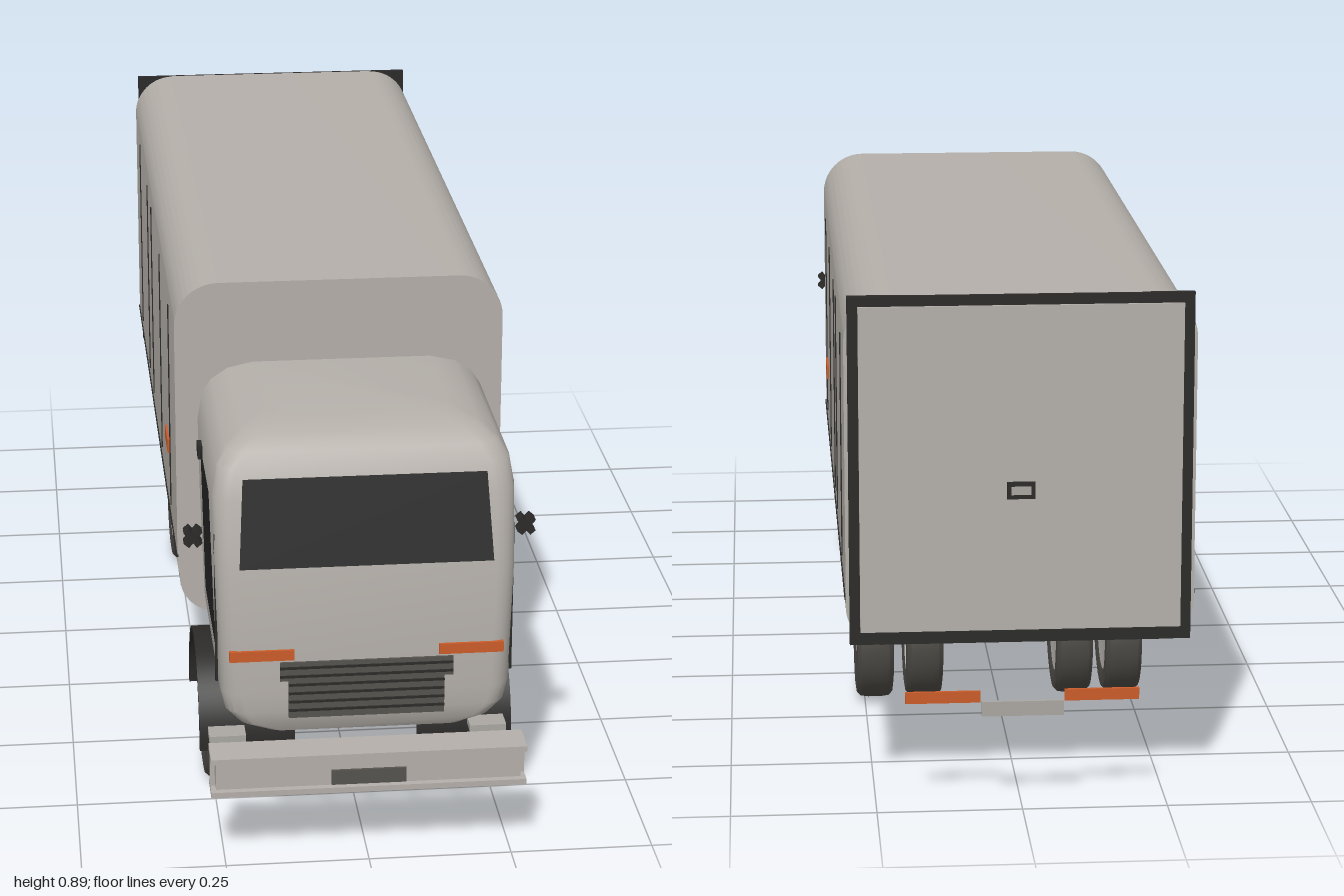
import * as THREE from 'three';
import { toCreasedNormals } from 'three/addons/utils/BufferGeometryUtils.js';

const mat = (name, color, side = THREE.FrontSide) => {
  const m = new THREE.MeshStandardMaterial({ color, side });
  m.name = name;
  return m;
};

export function createModel() {
  const truck = new THREE.Group();
  truck.name = 'boxTruck';
  const paint = mat('warmGreyPaint', 0xb4afa9);
  const glass = mat('darkGlass', 0x232323, THREE.DoubleSide);
  const black = mat('blackTrim', 0x2b2a29, THREE.DoubleSide);
  const rubber = mat('tyreRubber', 0x4d4a45);
  const grilleGrey = mat('grilleGrey', 0x56534e);
  const orange = mat('orangeLamp', 0xcc5c2a);
  const brown = mat('axleBrown', 0x5e2d1c);
  const metal = mat('metal', 0xaaa7a2);

  const add = (name, geometry, material, parent = truck) => {
    const mesh = new THREE.Mesh(geometry, material);
    mesh.name = name;
    parent.add(mesh);
    return mesh;
  };
  // Box given by its limits on each axis
  const box = (name, m, x0, x1, y0, y1, z0, z1, parent = truck) => {
    const b = add(name, new THREE.BoxGeometry(Math.abs(x1 - x0), y1 - y0, z1 - z0), m, parent);
    b.position.set((x0 + x1) / 2, (y0 + y1) / 2, (z0 + z1) / 2);
    return b;
  };
  // Flat convex panel through a few corners
  const panel = (name, m, pts) => {
    const g = new THREE.BufferGeometry();
    g.setAttribute('position', new THREE.Float32BufferAttribute(pts.flat(), 3));
    const idx = [];
    for (let i = 1; i < pts.length - 1; i++) idx.push(0, i, i + 1);
    g.setIndex(idx);
    g.computeVertexNormals();
    return add(name, g, m);
  };
  // Skin over stacked rings with closed ends
  const loft = (rings) => {
    const n = rings[0].length, idx = [];
    for (let i = 0; i < rings.length - 1; i++) {
      for (let j = 0; j < n; j++) {
        const a = i * n + j, b = i * n + (j + 1) % n;
        idx.push(a, b, b + n, a, b + n, a + n);
      }
    }
    const t = (rings.length - 1) * n;
    for (let j = 1; j < n - 1; j++) idx.push(0, j + 1, j, t, t + j, t + j + 1);
    const g = new THREE.BufferGeometry();
    g.setAttribute('position', new THREE.Float32BufferAttribute(rings.flat(2), 3));
    g.setIndex(idx);
    return toCreasedNormals(g, 0.6);
  };

  // Cargo box with rounded long edges
  const W = 0.298, B = 0.285, T = 0.892, rt = 0.08, rb = 0.065;
  const s = new THREE.Shape();
  s.moveTo(-W + rb, B);
  s.lineTo(W - rb, B);
  s.absarc(W - rb, B + rb, rb, -Math.PI / 2, 0);
  s.lineTo(W, T - rt);
  s.absarc(W - rt, T - rt, rt, 0, Math.PI / 2);
  s.lineTo(-W + rt, T);
  s.absarc(-W + rt, T - rt, rt, Math.PI / 2, Math.PI);
  s.lineTo(-W, B + rb);
  s.absarc(-W + rb, B + rb, rb, Math.PI, Math.PI * 1.5);
  const cargo = new THREE.ExtrudeGeometry(s, { depth: 1.42, bevelEnabled: false, curveSegments: 10 });
  cargo.translate(0, 0, -0.94);
  add('cargoBox', toCreasedNormals(cargo, 0.5), paint);
  box('cargoFloor', black, -0.24, 0.24, 0.281, 0.287, -0.935, 0.475);

  // Rear frame, door and handle
  box('rearFrame', black, -0.292, 0.292, 0.285, 0.892, -0.946, -0.936);
  box('rearDoor', paint, -0.274, 0.274, 0.308, 0.874, -0.951, -0.944);
  box('doorHandlePlate', black, -0.024, 0.024, 0.54, 0.57, -0.954, -0.95);
  box('doorHandle', metal, -0.017, 0.017, 0.548, 0.562, -0.957, -0.953);

  // Cab lofted upward from plan sections: height, half width, front z
  const levels = [
    [0.225, 0.18, 0.935], [0.24, 0.22, 0.941], [0.265, 0.243, 0.945], [0.30, 0.251, 0.945],
    [0.52, 0.258, 0.945], [0.65, 0.26, 0.9125], [0.70, 0.252, 0.899], [0.725, 0.235, 0.882],
    [0.745, 0.205, 0.85], [0.755, 0.16, 0.79],
  ];
  const r = 0.035;
  add('cab', loft(levels.map(([y, w, zf]) => {
    const ring = [[-w, y, 0.52]];
    for (const [cx, a0] of [[-w + r, Math.PI], [w - r, Math.PI / 2]]) {
      for (let k = 0; k <= 5; k++) {
        const a = a0 - (k / 5) * Math.PI / 2;
        ring.push([cx + r * Math.cos(a), y, zf - r + r * Math.sin(a)]);
      }
    }
    ring.push([w, y, 0.52]);
    return ring;
  })), paint);
  box('cabFloor', black, -0.175, 0.175, 0.222, 0.228, 0.53, 0.92);

  // Windscreen lies on the sloping front
  const slopeZ = (y) => 0.949 - (y - 0.52) * 0.25;
  panel('windscreen', glass, [
    [-0.218, 0.535, slopeZ(0.535)], [0.218, 0.535, slopeZ(0.535)],
    [0.209, 0.685, slopeZ(0.685)], [-0.209, 0.685, slopeZ(0.685)],
  ]);

  // Grille with louvres
  box('grilleUpper', grilleGrey, -0.15, 0.15, 0.325, 0.36, 0.942, 0.949);
  box('grilleLower', grilleGrey, -0.135, 0.135, 0.255, 0.325, 0.942, 0.949);
  for (let i = 0; i < 6; i++) {
    const y = 0.268 + i * 0.016, w = y > 0.32 ? 0.15 : 0.135;
    box('grilleLouvre', black, -w, w, y, y + 0.004, 0.944, 0.952);
  }

  // Bumper beam, flanges and plate
  box('bumperBeam', paint, -0.265, 0.265, 0.143, 0.196, 0.95, 0.988);
  box('bumperTop', paint, -0.274, 0.274, 0.196, 0.206, 0.934, 1.0);
  box('bumperBottom', paint, -0.274, 0.274, 0.133, 0.143, 0.934, 1.0);
  box('frontPlate', grilleGrey, -0.065, 0.065, 0.145, 0.172, 0.985, 0.993);

  // Rear plate
  box('rearPlate', metal, -0.07, 0.07, 0.17, 0.196, -1.0, -0.994);

  // Wheel: tyre, dished rim and hub, outer face towards +x
  const lathe = (pts, seg = 36) => {
    const g = new THREE.LatheGeometry(pts.map((p) => new THREE.Vector2(...p)), seg);
    g.rotateZ(-Math.PI / 2);
    return toCreasedNormals(g, 0.6);
  };
  const tyreGeo = lathe([[0.082, -0.03], [0.1, -0.035], [0.115, -0.033], [0.122, -0.026], [0.124, -0.012],
    [0.124, 0.012], [0.122, 0.026], [0.115, 0.033], [0.1, 0.035], [0.082, 0.03]]);
  const rimGeo = lathe([[0.001, -0.02], [0.078, -0.028], [0.084, -0.03], [0.084, 0.03], [0.078, 0.031],
    [0.07, 0.012], [0.045, 0.004], [0.001, 0.004]]);
  const ringGeo = lathe([[0.055, 0.006], [0.055, 0.01], [0.04, 0.014], [0.001, 0.014]]);
  const hubGeo = lathe([[0.026, 0.01], [0.026, 0.028], [0.02, 0.032], [0.001, 0.032]], 20);
  const wheel = (name, side, x, z) => {
    const g = new THREE.Group();
    g.name = name;
    add('tyre', tyreGeo, rubber, g);
    add('rim', rimGeo, metal, g);
    add('hubRing', ringGeo, brown, g);
    add('hub', hubGeo, grilleGrey, g);
    for (let i = 0; i < 8; i++) {
      const a = i * Math.PI / 4;
      box('wheelNut', metal, 0.012, 0.019, -0.004, 0.004, -0.004, 0.004, g)
        .position.set(0.015, 0.036 * Math.sin(a), 0.036 * Math.cos(a));
    }
    g.position.set(side * x, 0.125, z);
    g.rotation.y = side > 0 ? 0 : Math.PI;
    truck.add(g);
  };
  for (const z of [0.635, -0.37]) {
    const axle = add('axle', new THREE.CylinderGeometry(0.014, 0.014, 0.42, 16), brown);
    axle.rotation.z = Math.PI / 2;
    axle.position.set(0, 0.122, z);
  }

  // Front mudguard arch
  const arch = new THREE.Shape();
  arch.absarc(0, 0, 0.153, -0.05, Math.PI + 0.08);
  arch.absarc(0, 0, 0.143, Math.PI + 0.08, -0.05, true);
  const archGeo = toCreasedNormals(new THREE.ExtrudeGeometry(arch,
    { depth: 0.17, bevelEnabled: false, curveSegments: 24 }).rotateY(-Math.PI / 2), 0.5);

  for (const side of [1, -1]) {
    const X = (x) => side * x;
    wheel('frontWheel', side, 0.232, 0.635);
    wheel('rearOuterWheel', side, 0.232, -0.37);
    wheel('rearInnerWheel', side, 0.14, -0.37);
    add('frontMudguard', archGeo, black).position.set(side > 0 ? 0.28 : -0.11, 0.125, 0.635);
    box('step', metal, X(0.2), X(0.265), 0.15, 0.163, 0.75, 0.825);
    box('bumperEnd', paint, X(0.266), X(0.274), 0.14, 0.2, 0.962, 0.972);

    // Cab side details
    panel('sideWindow', glass, [
      [X(0.2575), 0.375, 0.898], [X(0.2575), 0.375, 0.647], [X(0.2635), 0.645, 0.647], [X(0.2635), 0.645, 0.857],
    ]);
    box('doorSeam', black, X(0.254), X(0.2585), 0.31, 0.585, 0.9, 0.904);
    box('doorCatch', black, X(0.255), X(0.268), 0.62, 0.645, 0.615, 0.645);
    for (const tilt of [0.7, -0.7]) {
      box('mirrorArm', black, X(0.284), X(0.296), 0.534, 0.57, 0.815, 0.84).rotation.z = tilt;
    }
    box('indicator', orange, X(0.125), X(0.237), 0.365, 0.384, 0.942, 0.95);

    // Cargo side seams and marker
    for (const z of [0.295, -0.005, -0.31, -0.46, -0.76]) {
      box('panelSeam', black, X(0.296), X(0.3), 0.39, 0.79, z - 0.003, z + 0.003);
    }
    box('lowerSeam', black, X(0.296), X(0.3), 0.362, 0.367, -0.935, 0.48);
    box('sideMarker', orange, X(0.296), X(0.302), 0.482, 0.508, 0.18, 0.262);
    box('rearLamp', orange, X(0.072), X(0.2), 0.192, 0.212, -0.99, -0.984);
  }

  // Fuel tank on one side
  const tank = add('fuelTank', new THREE.CylinderGeometry(0.075, 0.075, 0.275, 32), paint);
  tank.rotation.x = Math.PI / 2;
  tank.position.set(-0.2, 0.16, -0.018);
  box('tankBracket', grilleGrey, -0.145, -0.138, 0.18, 0.235, -0.155, 0.12);

  return truck;
}
